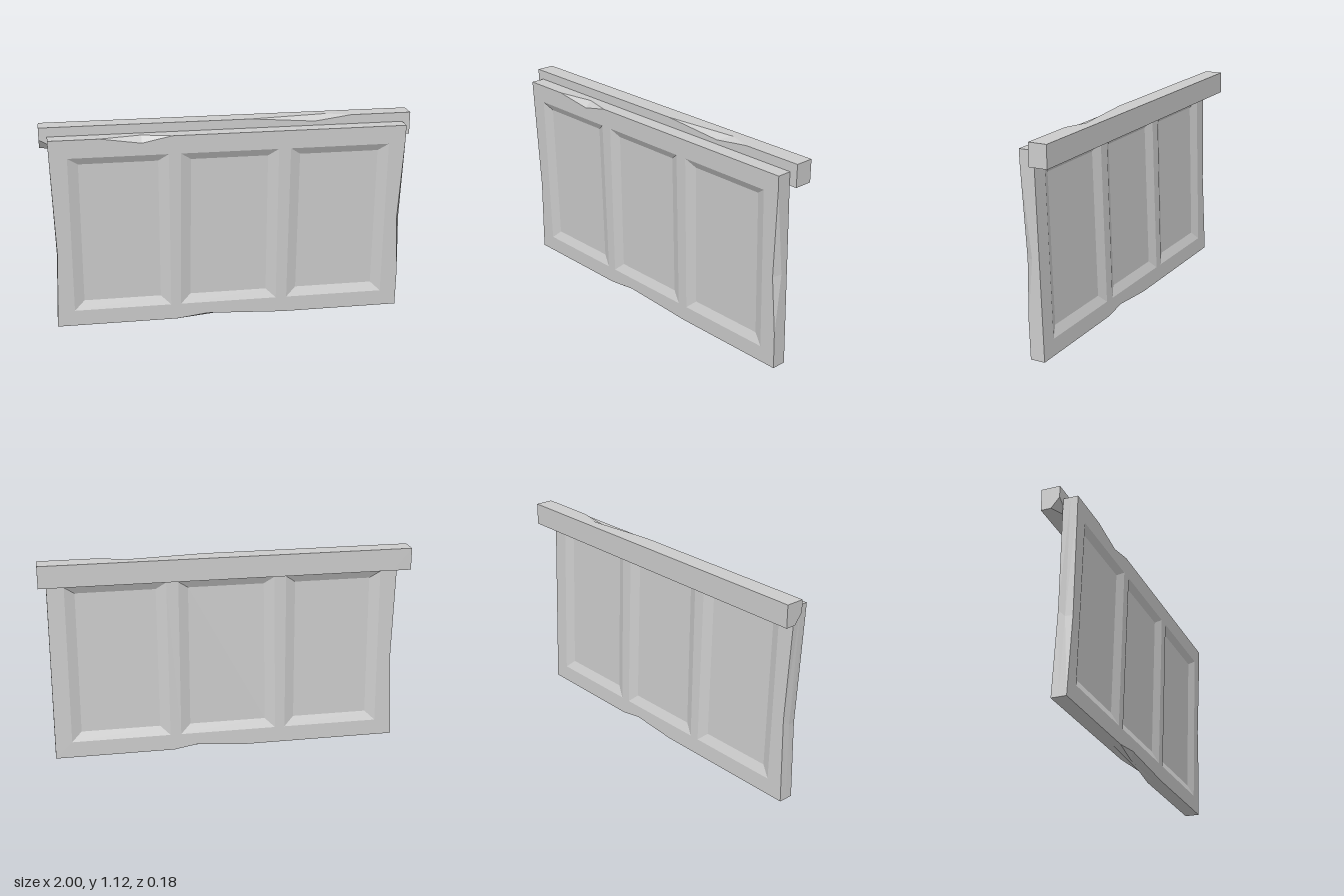
import * as THREE from 'three';

const material = new THREE.MeshStandardMaterial({ color: 0xcccccc, flatShading: true });

// Slab lofted through three outlines (front, middle, back), with bevelled recesses in both faces.
// Outlines run anticlockwise seen from the front; points that differ between outlines form chips.
function chippedSlab(loops, depths, recesses = [], sink = 0) {
  const pos = [];
  const tri = (a, b, c) => pos.push(...a, ...b, ...c);
  const quad = (a, b, c, d) => { tri(a, b, c); tri(a, c, d); };
  const at = (p, z) => [p[0], p[1], z];

  // rim
  for (let k = 0; k < 2; k++) {
    const A = loops[k], B = loops[k + 1], n = A.length;
    for (let i = 0; i < n; i++) {
      const j = (i + 1) % n;
      const a = at(A[i], depths[k]), b = at(A[j], depths[k]);
      const c = at(B[j], depths[k + 1]), d = at(B[i], depths[k + 1]);
      const chipped = A[j][0] !== B[j][0] || A[j][1] !== B[j][1];
      if (chipped) { tri(a, d, c); tri(a, c, b); } else { tri(a, d, b); tri(b, d, c); }
    }
  }

  // front and back faces
  for (const [loop, z, s] of [[loops[0], depths[0], 1], [loops[2], depths[2], -1]]) {
    const face = (a, b, c) => (s > 0 ? tri(a, b, c) : tri(a, c, b));
    const v2 = (l) => l.map((p) => new THREE.Vector2(p[0], p[1]));
    const holes = recesses.map((r) => r.outer);
    const all = [loop, ...holes].flat();
    for (const [a, b, c] of THREE.ShapeUtils.triangulateShape(v2(loop), holes.map(v2))) {
      const [p, q, r] = [all[a], all[b], all[c]];
      const ccw = (q[0] - p[0]) * (r[1] - p[1]) - (q[1] - p[1]) * (r[0] - p[0]) > 0;
      if (ccw) face(at(p, z), at(q, z), at(r, z)); else face(at(p, z), at(r, z), at(q, z));
    }
    // recess bevels and floors
    const zf = z - s * sink;
    for (const { outer, inner } of recesses) {
      for (let i = 0; i < 4; i++) {
        const j = (i + 1) % 4;
        const [a, b, c, d] = [at(outer[i], z), at(outer[j], z), at(inner[j], zf), at(inner[i], zf)];
        if (s > 0) quad(a, b, c, d); else quad(d, c, b, a);
      }
      const f = inner.map((p) => at(p, zf));
      face(f[0], f[1], f[2]);
      face(f[0], f[2], f[3]);
    }
  }
  const geo = new THREE.BufferGeometry();
  geo.setAttribute('position', new THREE.Float32BufferAttribute(pos, 3));
  geo.computeVertexNormals();
  return geo;
}

// Recess from its left and right edges at the bottom and the top
function recess(lb, rb, rt, lt) {
  const y0 = 0.09, y1 = 0.97, w = 0.055;
  return {
    outer: [[lb, y0], [rb, y0], [rt, y1], [lt, y1]],
    inner: [[lb + w, y0 + 0.05], [rb - w, y0 + 0.05], [rt - w, y1 - 0.04], [lt + w, y1 - 0.04]],
  };
}

// Copy an outline with some points replaced
const withPoints = (loop, changes) => loop.map((p, i) => changes[i] || p);

export function createModel() {
  const group = new THREE.Group();
  const add = (name, geo) => {
    const mesh = new THREE.Mesh(geo, material);
    mesh.name = name;
    group.add(mesh);
  };

  // leaning door panel with chipped edges
  const H = 1.07, X = 0.957;
  const middle = [
    [-X, 0], [-0.3, 0], [-0.05, 0.004], [0.3, 0], [X, 0],
    [X, 0.2], [X, 0.53], [X, 1.0], [X, H],
    [-0.31, H], [-0.47, H], [-0.69, H], [-X, H], [-0.94, 0.42],
  ];
  const front = withPoints(middle, {
    2: [-0.13, 0.022], 6: [0.935, 0.52], 10: [-0.47, 1.037], 13: [-0.937, 0.42],
  });
  const back = withPoints(middle, { 1: [-0.1, 0], 2: [0.17, 0.022], 13: [-0.937, 0.46] });
  const panel = chippedSlab([front, middle, back], [0.04, 0, -0.04], [
    recess(-0.86, -0.33, -0.33, -0.86),
    recess(-0.275, 0.26, 0.26, -0.265),
    recess(0.32, 0.865, 0.865, 0.325),
  ], 0.022);
  // lean: the top sits further forward than the bottom
  const p = panel.attributes.position;
  for (let i = 0; i < p.count; i++) p.setZ(i, p.getZ(i) + 0.0165 + 0.031 * p.getY(i));
  panel.computeVertexNormals();
  add('panel', panel);

  // beam behind the top edge, chipped along its top and at one lower corner
  const beam = [
    [-0.9, 1], [1, 1], [1, 1.12], [0.67, 1.12], [0.54, 1.12], [0.12, 1.12], [-1, 1.12], [-1, 1],
  ];
  const beamFront = withPoints(beam, { 4: [0.47, 1.093], 7: [-1, 1.055] });
  add('topBeam', chippedSlab([beamFront, beam, beam], [0.01, -0.035, -0.09]));
  return group;
}
